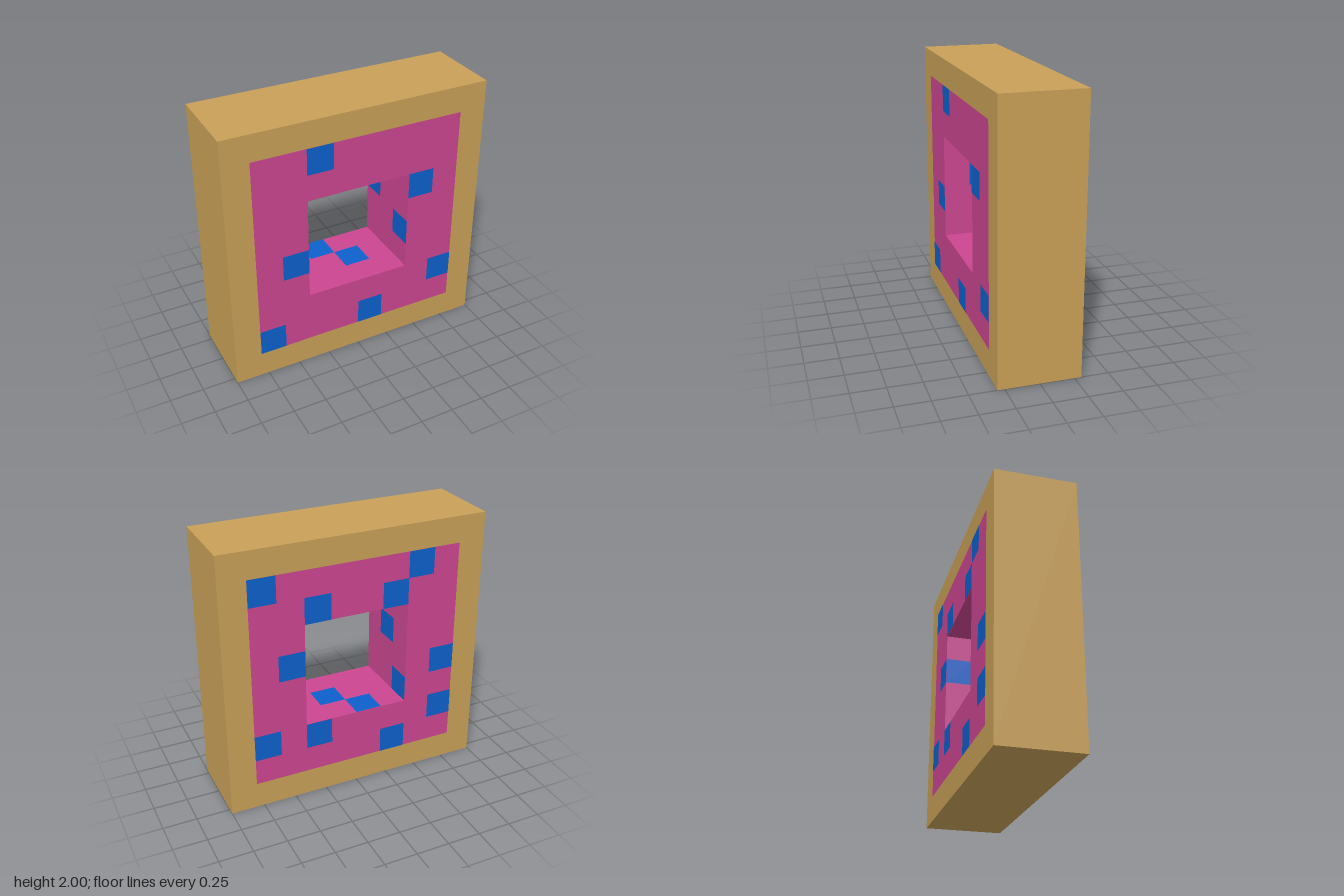
import * as THREE from 'three';

const CELL = 0.2, DEPTH = 0.6, LIFT = 0.002;

// Square ring centred on the origin, extruded along z
function ring(outer, inner, material, name) {
  const square = (path, h) =>
    path.moveTo(-h, -h).lineTo(h, -h).lineTo(h, h).lineTo(-h, h).closePath();
  const shape = square(new THREE.Shape(), outer);
  shape.holes.push(square(new THREE.Path(), inner));
  const geometry = new THREE.ExtrudeGeometry(shape, { depth: DEPTH, bevelEnabled: false });
  geometry.translate(0, 1, -DEPTH / 2);
  const mesh = new THREE.Mesh(geometry, material);
  mesh.name = name;
  return mesh;
}

export function createModel() {
  const tan = new THREE.MeshStandardMaterial({ color: 0xc8a057 });
  tan.name = 'tan';
  const pink = new THREE.MeshStandardMaterial({ color: 0xcb4691 });
  pink.name = 'pink';
  const blue = new THREE.MeshStandardMaterial({ color: 0x0d60cc });
  blue.name = 'blue';

  const group = new THREE.Group();
  group.name = 'squareFrame';
  group.add(ring(1, 0.8, tan, 'outerFrame'), ring(0.8, 0.4, pink, 'innerFrame'));

  // Blue tiles on each face: rotation of the face and the tile centres
  const z = DEPTH / 2 + LIFT, w = 0.4 - LIFT;
  const faces = [
    { name: 'frontTiles', rot: [0, 0, 0], at: [
      [-0.3, 1.7, z], [0.5, 1.3, z], [-0.5, 0.9, z],
      [0.7, 0.5, z], [-0.7, 0.3, z], [0.1, 0.3, z]] },
    { name: 'backTiles', rot: [0, Math.PI, 0], at: [
      [0.7, 1.7, -z], [-0.5, 1.7, -z], [0.3, 1.5, -z], [-0.3, 1.5, -z], [0.5, 1.1, -z],
      [-0.7, 0.9, -z], [0.7, 0.5, -z], [0.3, 0.5, -z], [-0.7, 0.5, -z], [-0.3, 0.3, -z]] },
    { name: 'openingRightWallTiles', rot: [0, Math.PI / 2, 0], at: [
      [-w, 1.1, 0], [-w, 0.7, -0.2]] },
    { name: 'openingLeftWallTiles', rot: [0, -Math.PI / 2, 0], at: [
      [w, 1.1, -0.2], [w, 0.9, 0.2]] },
    { name: 'openingFloorTiles', rot: [-Math.PI / 2, 0, 0], at: [
      [-0.1, 1 - w, -0.2], [0.1, 1 - w, 0]] },
    { name: 'openingCeilingTiles', rot: [Math.PI / 2, 0, 0], at: [
      [0.1, 1 + w, 0], [-0.3, 1 + w, 0.2]] },
  ];
  const tile = new THREE.PlaneGeometry(CELL, CELL);
  for (const { name, rot, at } of faces) {
    const tiles = new THREE.Group();
    tiles.name = name;
    for (const p of at) {
      const mesh = new THREE.Mesh(tile, blue);
      mesh.name = 'tile';
      mesh.position.set(...p);
      mesh.rotation.set(...rot);
      tiles.add(mesh);
    }
    group.add(tiles);
  }
  return group;
}
